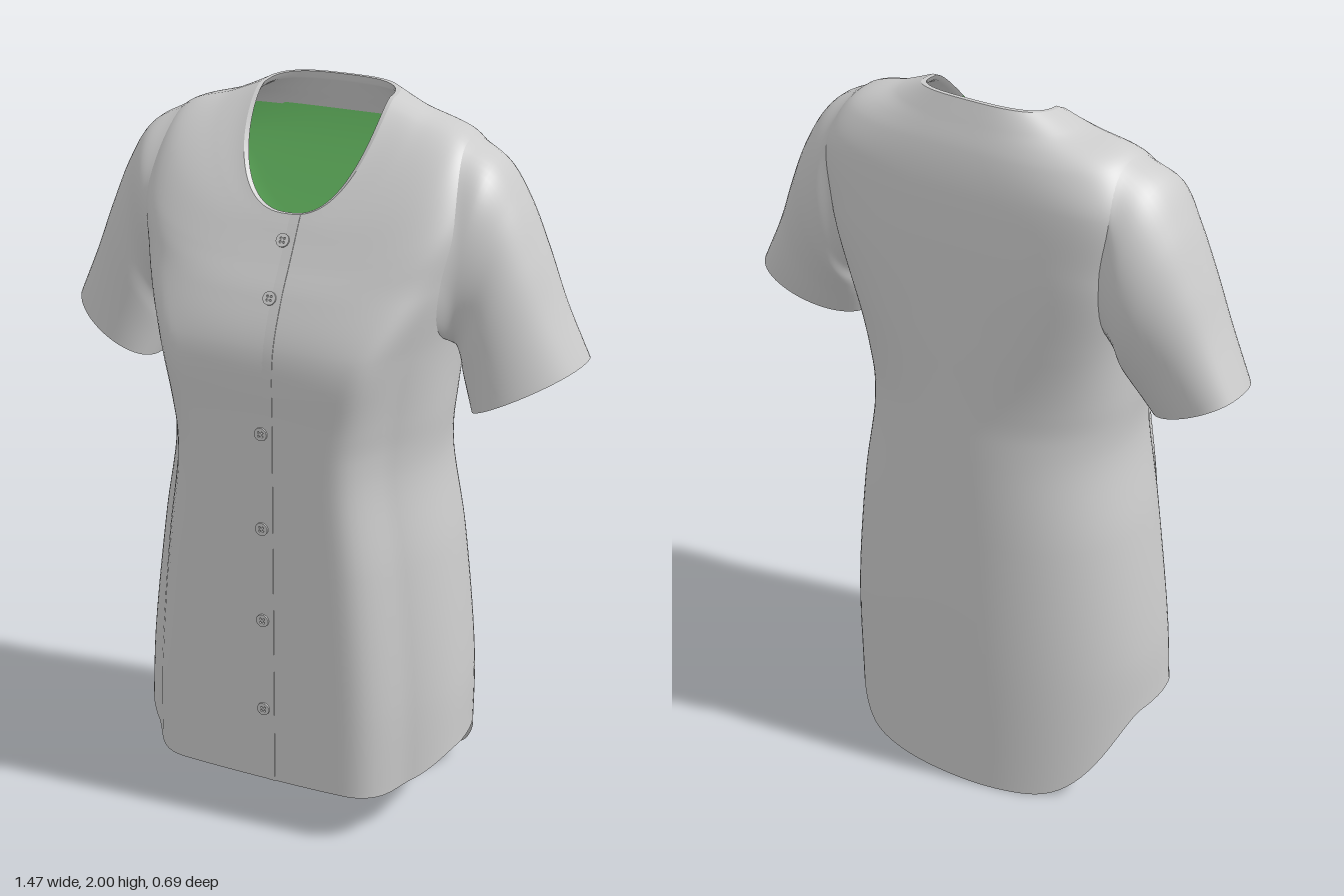
import * as THREE from 'three';
import { toCreasedNormals } from 'three/addons/utils/BufferGeometryUtils.js';

const V = (x, y, z) => new THREE.Vector3(x, y, z);
const curve = (pts) => new THREE.CatmullRomCurve3(pts.map((p) => V(...p)));
const { lerp, smoothstep } = THREE.MathUtils;

const cloth = new THREE.MeshStandardMaterial({ color: 0xcccccc });
const liningMat = new THREE.MeshStandardMaterial({ color: 0x77d873 });
const THICK = 0.012;

// Grid surface from point(u, v); u runs around, v along. keep(u, v, middle) filters quads.
function loft(point, nu, nv, { closed = true, flip = false, keep = () => true } = {}) {
  const cols = closed ? nu : nu + 1;
  const pts = [];
  const index = [];
  for (let j = 0; j <= nv; j++) for (let i = 0; i < cols; i++) pts.push(point(i / nu, j / nv));
  for (let j = 0; j < nv; j++) {
    for (let i = 0; i < nu; i++) {
      const a = j * cols + i;
      const b = j * cols + ((i + 1) % cols);
      const c = a + cols;
      const d = b + cols;
      const mid = pts[a].clone().add(pts[d]).multiplyScalar(0.5);
      if (!keep((i + 0.5) / nu, (j + 0.5) / nv, mid)) continue;
      index.push(...(flip ? [a, b, c, b, d, c] : [a, c, b, b, c, d]));
    }
  }
  const geo = new THREE.BufferGeometry().setFromPoints(pts);
  geo.setIndex(index);
  geo.computeVertexNormals();
  return geo;
}

function add(group, name, geo, mat = cloth) {
  const mesh = new THREE.Mesh(geo, mat);
  mesh.name = name;
  group.add(mesh);
  return mesh;
}

// Torso profiles from hem to neckline, matched row by row
const side = curve([
  [0.47, 0.23, 0.04], [0.464, 0.42, 0.02], [0.42, 0.8, 0], [0.378, 1.05, 0], [0.385, 1.2, 0], [0.4, 1.4, 0],
  [0.44, 1.6, -0.03], [0.46, 1.78, -0.05], [0.405, 1.905, -0.06], [0.27, 1.953, -0.065], [0.19, 1.985, -0.07],
]);
const front = curve([
  [0, 0.15, 0.34], [0, 0.4, 0.34], [0, 0.8, 0.34], [0, 1.05, 0.34], [0, 1.2, 0.34], [0, 1.4, 0.335],
  [0, 1.53, 0.283], [0, 1.61, 0.235], [0, 1.66, 0.205], [0, 1.695, 0.185], [0, 1.72, 0.17],
]);
const back = curve([
  [0, 0.005, -0.343], [0, 0.4, -0.343], [0, 0.8, -0.33], [0, 1.05, -0.318], [0, 1.2, -0.308], [0, 1.4, -0.3],
  [0, 1.65, -0.287], [0, 1.8, -0.268], [0, 1.89, -0.243], [0, 1.95, -0.215], [0, 2.0, -0.19],
]);

function torsoPoint(u, v, inset = 0) {
  const a = u * Math.PI * 2;
  const isFront = Math.sin(a) >= 0;
  const s = side.getPoint(v);
  const end = (isFront ? front : back).getPoint(v);
  // squarer across the shoulders, most of all at the back
  const square = smoothstep(v, 0.35, 0.6) * (1 - 0.5 * smoothstep(v, 0.7, 0.85));
  const e = isFront ? 0.95 - 0.3 * square : 0.9 - 0.46 * square;
  const c = Math.sign(Math.cos(a)) * Math.abs(Math.cos(a)) ** e;
  let w = Math.abs(Math.sin(a)) ** e;
  // flat front panel below the bust
  if (isFront) w += 0.85 * (1 - w) * smoothstep(w, 0.6, 0.88) * (1 - smoothstep(v, 0.45, 0.65));
  const depth = end.z - s.z - Math.sign(end.z) * inset;
  // shirt-tail curve at the hem, sloping neckline at the top
  const slope = w ** lerp(1.8, 1.35, smoothstep(v, 0.75, 1));
  const tail = isFront ? smoothstep(w, 0.13, 0.85) : smoothstep(w, 0.2, 0.89);
  const bend = lerp(tail, slope, smoothstep(v, 0.2, 0.6));
  // the lining sits above the hem and below the shoulder slope
  let shift = v < 0.999 ? -inset * smoothstep(v, 0.65, 0.85) : 0;
  if (v === 0) shift = inset;
  return V(c * (s.x - inset), lerp(s.y, end.y, bend) + shift, s.z + w * depth);
}

// Armhole: an ellipse in the torso's own u and v
const ARM = { v: 0.65, dv: 0.15, front: 0.072, back: 0.1 };
function outsideArmhole(u, v) {
  let du = u > 0.75 ? u - 1 : u;
  if (u > 0.25 && u <= 0.75) du = 0.5 - u;
  const reach = du > 0 ? ARM.front : ARM.back;
  return Math.hypot(du / reach, (v - ARM.v) / ARM.dv) > 0.9;
}

// Sleeve rings below the armhole: top point, bottom point, front z, back z
const sleeveRings = [
  [V(0.487, 1.857, -0.06), V(0.417, 1.365, -0.04), 0.118, -0.242],
  [V(0.55, 1.765, -0.06), V(0.423, 1.335, -0.04), 0.1, -0.237],
  [V(0.61, 1.635, -0.065), V(0.432, 1.3, -0.03), 0.1, -0.215],
  [V(0.665, 1.5, -0.07), V(0.444, 1.265, -0.02), 0.1, -0.19],
  [V(0.735, 1.35, -0.08), V(0.465, 1.212, 0), 0.1, -0.168],
];

function sleevePoint(u, v, inset = 0) {
  const a = u * Math.PI * 2;
  const cos = Math.cos(a);
  const sin = Math.sin(a);
  const seam = torsoPoint((sin > 0 ? ARM.front : ARM.back) * sin, ARM.v + ARM.dv * cos, inset);
  const path = sleeveRings.map(([top, bottom, frontZ, backZ]) => {
    const half = top.clone().sub(bottom).multiplyScalar(0.5);
    const p = bottom.clone().add(half);
    const reach = Math.abs((sin > 0 ? frontZ : backZ) - p.z) - inset;
    p.addScaledVector(half, cos * (1 - inset / half.length()));
    p.z += Math.sign(sin) * Math.abs(sin) ** 0.85 * reach;
    return p;
  });
  return new THREE.CatmullRomCurve3([seam, ...path]).getPoint(v);
}

// Parameter on the front profile at a given height
function frontAt(y) {
  let lo = 0;
  let hi = 1;
  for (let i = 0; i < 30; i++) {
    const m = (lo + hi) / 2;
    if (front.getPoint(m).y < y) lo = m;
    else hi = m;
  }
  return lo;
}
function frontNormal(v) {
  const t = front.getTangent(v);
  return V(0, -t.z, t.y).normalize();
}

function buttonGeometry() {
  const disc = new THREE.Shape().absarc(0, 0, 0.018, 0, Math.PI * 2);
  for (let k = 0; k < 4; k++) {
    const a = Math.PI / 4 + (k * Math.PI) / 2;
    disc.holes.push(new THREE.Path().absarc(Math.cos(a) * 0.007, Math.sin(a) * 0.007, 0.003, 0, Math.PI * 2, true));
  }
  return new THREE.ExtrudeGeometry(disc, { depth: 0.005, bevelEnabled: false, curveSegments: 10 });
}

export function createModel() {
  const shirt = new THREE.Group();
  shirt.name = 'shirt';

  // Body shell, lining and back neck facing
  const inner = (u, v) => torsoPoint(u, v, THICK);
  const isFacing = (u, v, p) => p.y > 1.89;
  const isLining = (u, v, p) => outsideArmhole(u, v) && !isFacing(u, v, p);
  add(shirt, 'body', loft((u, v) => torsoPoint(u, v), 120, 100, { keep: outsideArmhole }));
  add(shirt, 'bodyLining', loft(inner, 120, 100, { flip: true, keep: isLining }), liningMat);
  add(shirt, 'neckFacing', loft(inner, 120, 100, { flip: true, keep: isFacing }));

  // Turned edges at hem and neckline
  add(shirt, 'hemEdge', loft((u, t) => torsoPoint(u, 0, THICK * (1 - t)), 120, 1));
  add(shirt, 'neckEdge', loft((u, t) => torsoPoint(u, 1, THICK * t), 120, 1));

  // Sleeves, mirrored left and right
  for (const sx of [1, -1]) {
    const sleeve = new THREE.Group();
    sleeve.name = sx > 0 ? 'leftSleeve' : 'rightSleeve';
    const at = (u, v, inset) => {
      const p = sleevePoint(u, v, inset);
      p.x *= sx;
      return p;
    };
    const flip = sx > 0;
    add(sleeve, 'sleeveShell', loft((u, v) => at(u, v, 0), 56, 36, { flip }));
    add(sleeve, 'sleeveLining', loft((u, v) => at(u, v, THICK), 56, 36, { flip: !flip }), liningMat);
    add(sleeve, 'cuffEdge', loft((u, t) => at(u, 1, THICK * t), 56, 1, { flip }));
    shirt.add(sleeve);
  }

  // Front placket, rising gently to its overlapping edge
  const edge = [[-0.03, -0.003], [0.04, 0.002], [0.04, -0.003]];
  const placket = loft((u, v) => {
    const [x, lift] = edge[Math.round(u * 2)];
    const p = front.getPoint(v).addScaledVector(frontNormal(v), lift);
    p.x = x;
    return p;
  }, 2, 80, { closed: false, flip: true });
  add(shirt, 'placket', toCreasedNormals(placket, 0.6));

  // Buttons down the placket
  const button = buttonGeometry();
  for (const y of [1.66, 1.53, 1.18, 0.91, 0.64, 0.37]) {
    const v = frontAt(y);
    const n = frontNormal(v);
    const mesh = add(shirt, 'button', button);
    mesh.position.copy(front.getPoint(v)).addScaledVector(n, 0.001);
    mesh.position.x = 0.008;
    mesh.rotation.x = -Math.atan2(n.y, n.z);
  }
  return shirt;
}
